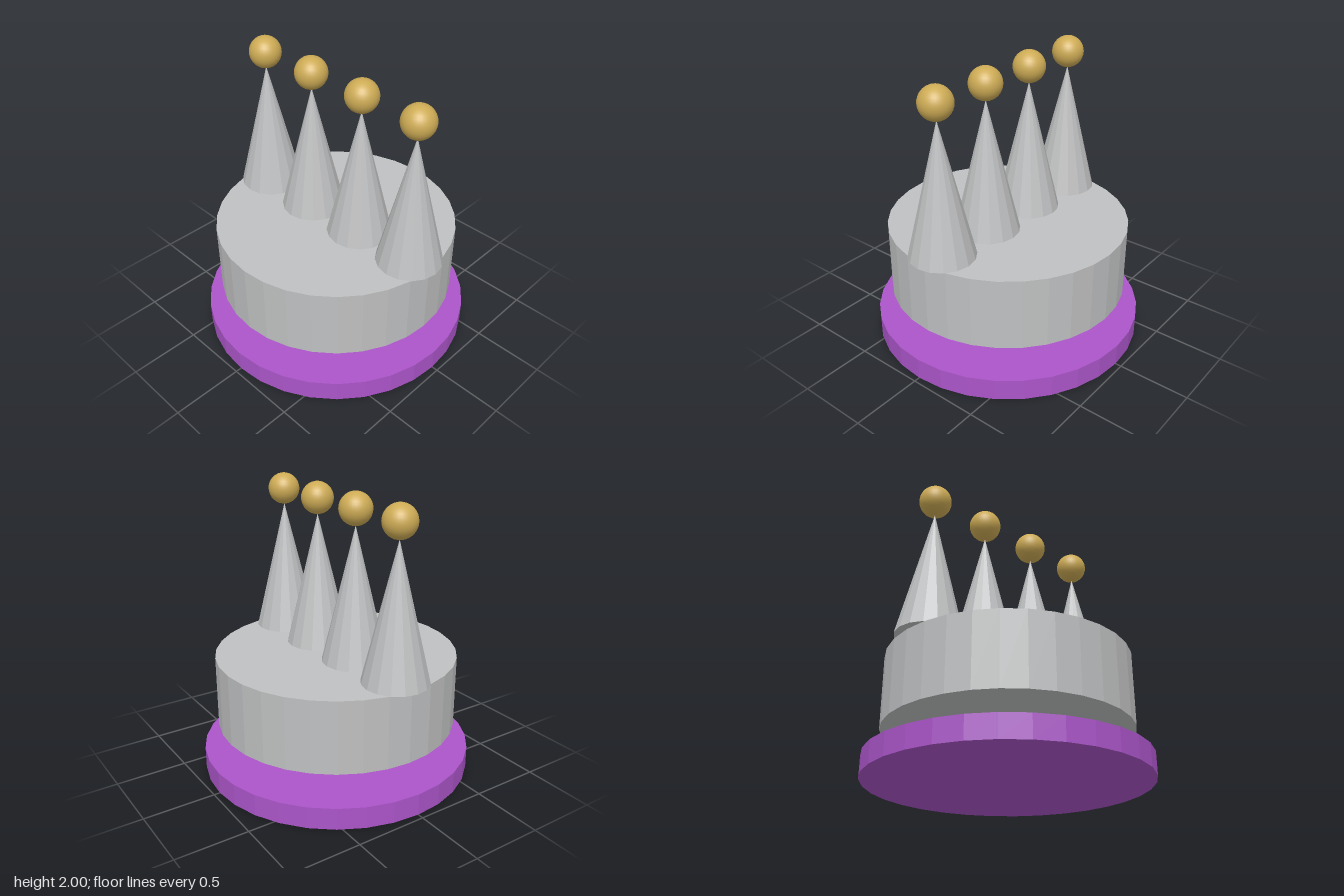
import * as THREE from 'three';

export function createModel() {
  const model = new THREE.Group();
  const mat = (name, color, flatShading) => {
    const m = new THREE.MeshStandardMaterial({ color, flatShading });
    m.name = name;
    return m;
  };
  const purple = mat('purple', 0xab55c9, true);
  const silver = mat('silver', 0xbfc0c1, true);
  const gold = mat('gold', 0xcdab55, false);

  const add = (name, geometry, material, x, y, parent = model) => {
    const mesh = new THREE.Mesh(geometry, material);
    mesh.name = name;
    mesh.position.set(x, y, 0);
    parent.add(mesh);
  };

  // Floating base disc and the crown band above it
  add('baseDisc', new THREE.CylinderGeometry(0.957, 0.957, 0.153, 32), purple, 0, 0.0765);
  add('crownBand', new THREE.CylinderGeometry(0.85, 0.85, 0.51, 32), silver, 0, 0.588);

  // Row of four spikes, each topped with a ball
  const spikeGeometry = new THREE.ConeGeometry(0.227, 0.935, 16);
  const ballGeometry = new THREE.SphereGeometry(0.113, 32, 16);
  for (let i = 0; i < 4; i++) {
    const spike = new THREE.Group();
    spike.name = `spike${i + 1}`;
    spike.position.x = (i - 1.5) * 0.453;
    add('spikeCone', spikeGeometry, silver, 0, 1.3105, spike);
    add('spikeBall', ballGeometry, gold, 0, 1.887, spike);
    model.add(spike);
  }
  return model;
}
